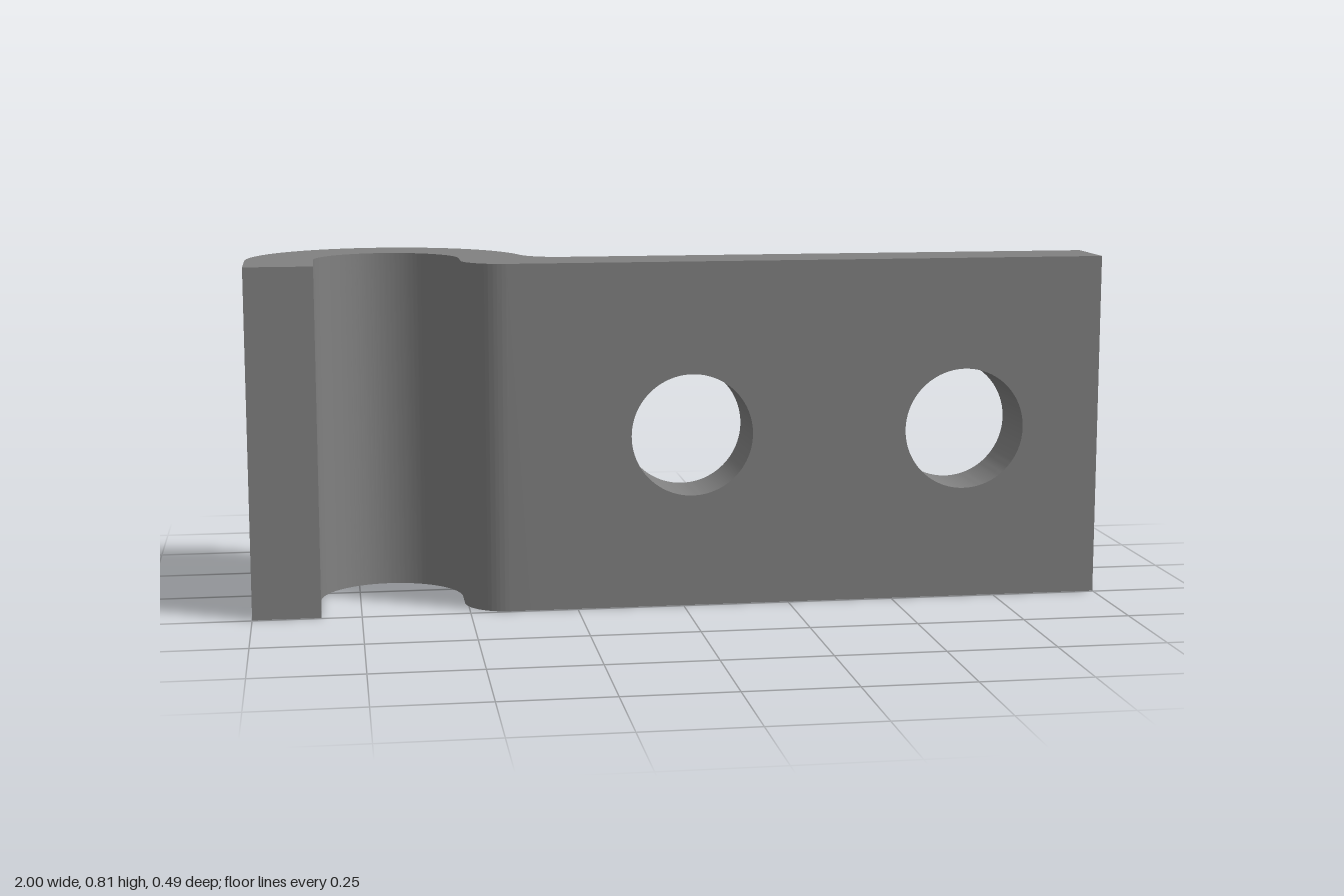
import * as THREE from 'three';
import { toCreasedNormals } from 'three/addons/utils/BufferGeometryUtils.js';

const HEIGHT = 0.81, FRONT = 0.245, BACK = 0.08; // FRONT and BACK are the plate's z faces
const JOIN = -0.262;                             // x where the hook meets the plate

function extrude(shape, depth) {
  const geometry = new THREE.ExtrudeGeometry(shape, { depth, bevelEnabled: false, curveSegments: 48 });
  return toCreasedNormals(geometry, 0.5);
}

export function createModel() {
  const group = new THREE.Group();
  group.name = 'pipeClamp';
  const steel = new THREE.MeshStandardMaterial({ color: 0x808080 });
  steel.name = 'greySteel';

  // Hook: cross-section seen from above (shape y = -z), extruded upwards
  const cx = -0.675, cy = -BACK, outer = 0.325, inner = 0.168, bend = 0.1;
  const tangent = Math.atan2(bend, JOIN - cx);
  const profile = new THREE.Shape();
  profile.moveTo(cx - outer, -FRONT);
  profile.lineTo(cx - outer, cy);
  profile.absarc(cx, cy, outer, Math.PI, tangent, true);
  profile.absarc(JOIN, cy + bend, bend, Math.PI + tangent, Math.PI * 1.5, false);
  profile.lineTo(JOIN, -FRONT);
  profile.lineTo(cx + inner + bend, -FRONT);
  profile.absarc(cx + inner + bend, -FRONT + bend, bend, -Math.PI / 2, -Math.PI, true);
  profile.lineTo(cx + inner, cy);
  profile.absarc(cx, cy, inner, 0, Math.PI, false);
  profile.lineTo(cx - inner, -FRONT);
  profile.closePath();
  const hook = new THREE.Mesh(extrude(profile, HEIGHT).rotateX(-Math.PI / 2), steel);
  hook.name = 'hook';
  group.add(hook);

  // Mounting plate with two bolt holes, extruded from back to front
  const outline = new THREE.Shape();
  outline.moveTo(JOIN, 0);
  outline.lineTo(1, 0);
  outline.lineTo(1, HEIGHT);
  outline.lineTo(JOIN, HEIGHT);
  outline.closePath();
  for (const x of [0.021, 0.673]) {
    outline.holes.push(new THREE.Path().absarc(x, HEIGHT / 2, 0.143, 0, Math.PI * 2, true));
  }
  const plate = new THREE.Mesh(extrude(outline, FRONT - BACK).translate(0, 0, BACK), steel);
  plate.name = 'mountingPlate';
  group.add(plate);

  return group;
}
